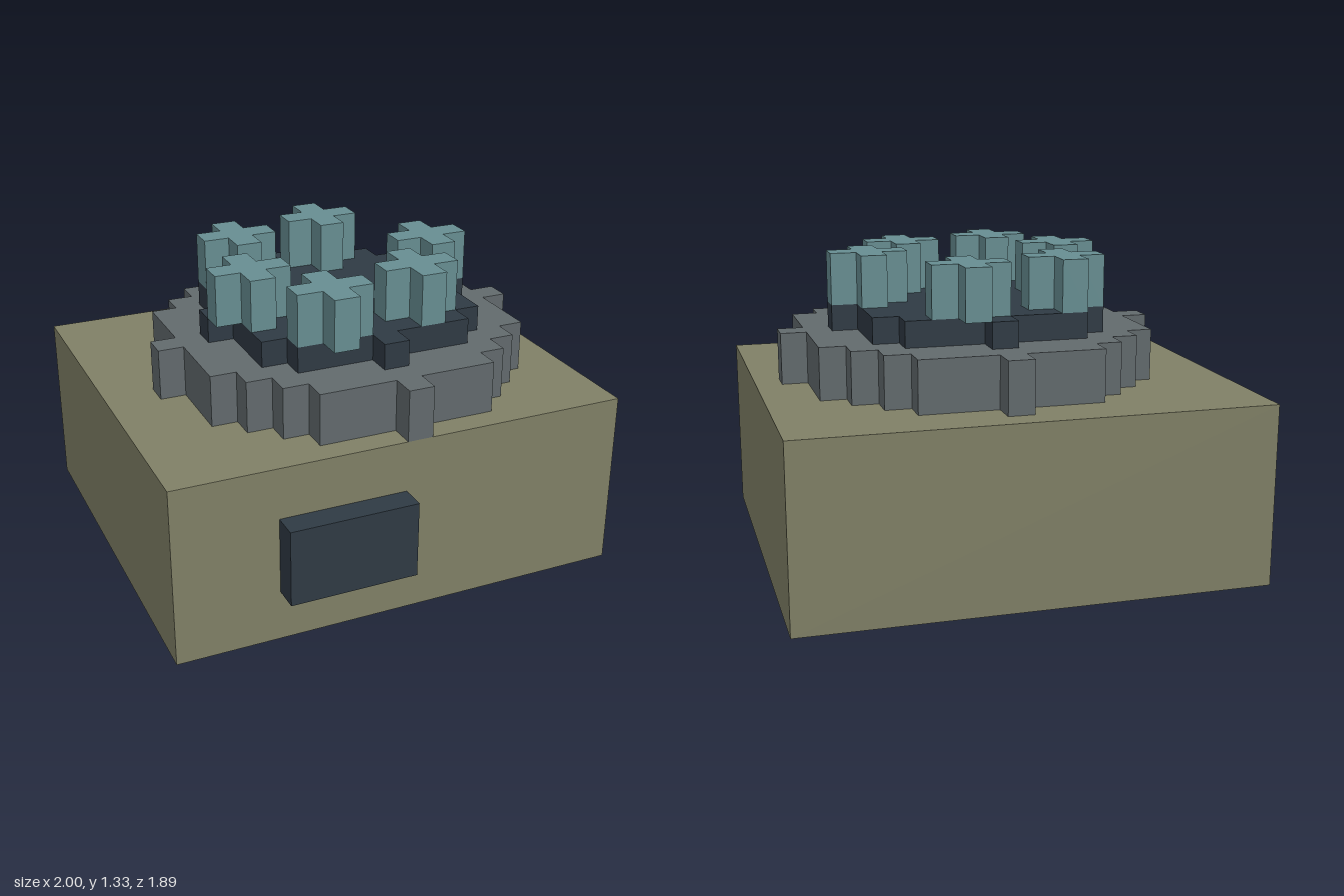
import * as THREE from 'three';

const U = 1 / 9; // one block

const mat = (color) => new THREE.MeshStandardMaterial({ color, flatShading: true });
const olive = mat(0x808066);
const grey = mat(0x626a6d);
const dark = mat(0x2f3a44);
const teal = mat(0x678e92);

// Box given by its min and max corners, in blocks
function block(name, material, [x0, y0, z0], [x1, y1, z1]) {
  const geo = new THREE.BoxGeometry((x1 - x0) * U, (y1 - y0) * U, (z1 - z0) * U);
  const mesh = new THREE.Mesh(geo, material);
  mesh.name = name;
  mesh.position.set((x0 + x1) * U / 2, (y0 + y1) * U / 2, (z0 + z1) * U / 2);
  return mesh;
}

// Stepped disc of whole blocks: each row is as wide as a circle of radius r allows
function steppedDisc(name, material, r, height, i, y, j) {
  const right = [], left = [];
  for (let row = -r; row <= r; row++) {
    const w = (Math.floor(Math.sqrt(r * r - row * row)) + 0.5) * U;
    for (const edge of [row - 0.5, row + 0.5]) {
      right.push(new THREE.Vector2(w, edge * U));
      left.unshift(new THREE.Vector2(-w, edge * U));
    }
  }
  const geo = new THREE.ExtrudeGeometry(new THREE.Shape([...right, ...left]), {
    depth: height * U, bevelEnabled: false,
  });
  geo.rotateX(-Math.PI / 2);
  const mesh = new THREE.Mesh(geo, material);
  mesh.name = name;
  mesh.position.set((i + 0.5) * U, y * U, j * U);
  return mesh;
}

export function createModel() {
  const model = new THREE.Group();
  model.name = 'blockyDialBox';

  // Body and the panel on its front
  model.add(block('base', olive, [-9, 0, -8.5], [9, 7, 7.5]));
  model.add(block('frontPanel', dark, [-5, 2, 7.5], [0, 5, 8.5]));

  // Round platform in two tiers
  model.add(steppedDisc('ring', grey, 7, 2, 0, 7, 0));
  model.add(steppedDisc('plate', dark, 5, 1, 0, 9, 0));

  // Six cross-shaped posts around the plate
  const posts = new THREE.Group();
  posts.name = 'posts';
  for (const [i, j] of [[4, 0], [2, 3], [-2, 4], [-4, 1], [-3, -3], [1, -4]]) {
    posts.add(steppedDisc('post', teal, 1, 2, i, 10, j));
  }
  model.add(posts);

  return model;
}
